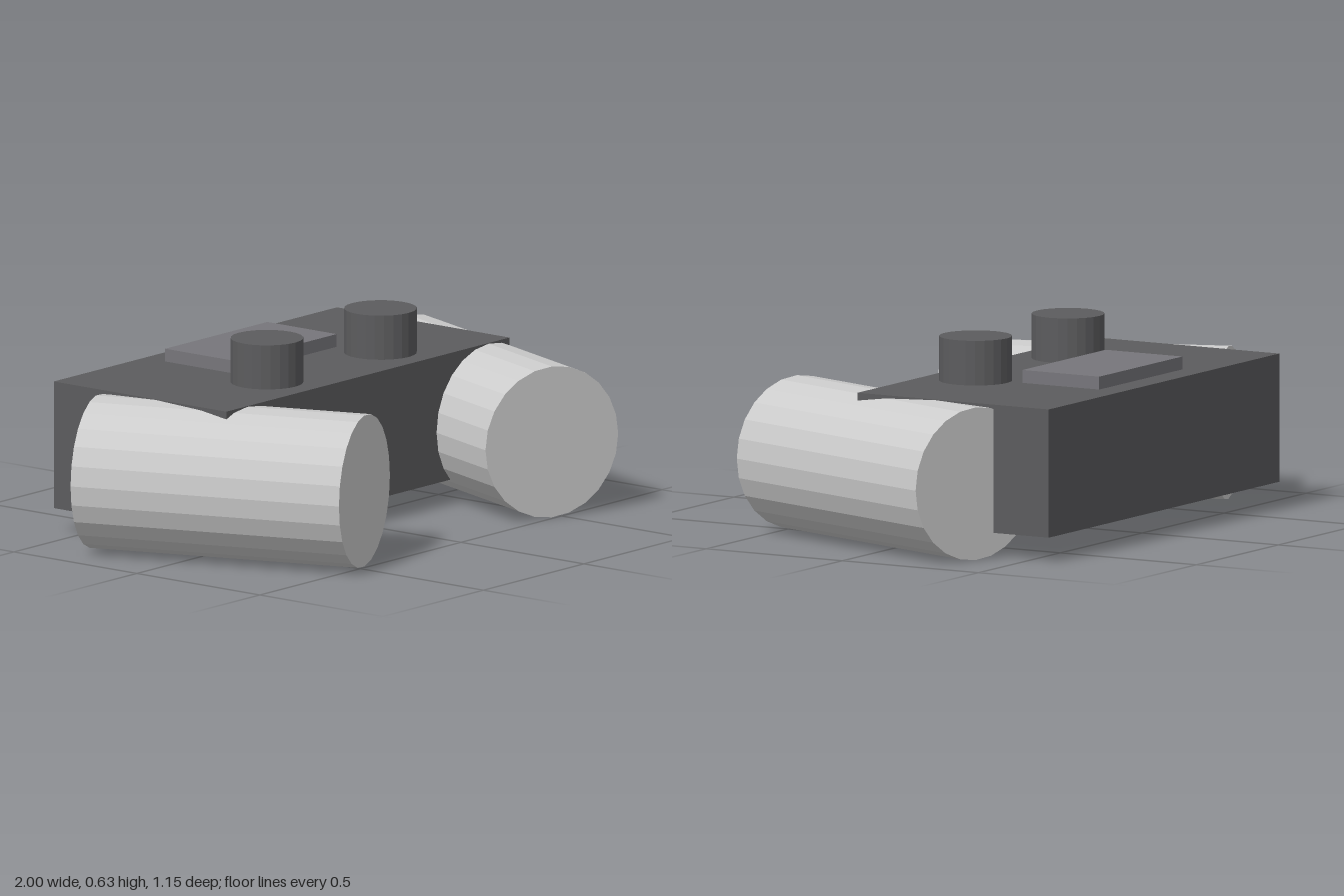
import * as THREE from 'three';

export function createModel() {
  const model = new THREE.Group();
  const mat = (color) => new THREE.MeshStandardMaterial({ color, flatShading: true });
  const dark = mat(0x5c5c5e);
  const panel = mat(0x77767b);
  const light = mat(0xcccccc);

  const add = (name, geometry, material, x, y, z) => {
    const mesh = new THREE.Mesh(geometry, material);
    mesh.name = name;
    mesh.position.set(x, y, z);
    model.add(mesh);
    return mesh;
  };

  // Central housing and its raised top plate
  add('body', new THREE.BoxGeometry(1.408, 0.408, 0.702), dark, 0, 0.284, -0.229);
  add('topPlate', new THREE.BoxGeometry(0.508, 0.06, 0.282), panel, 0, 0.499, -0.354);

  // Mirrored barrels, toed in towards the front, and the knobs on top
  const barrel = new THREE.CylinderGeometry(0.243, 0.243, 0.895, 24).rotateX(Math.PI / 2);
  const knob = new THREE.CylinderGeometry(0.115, 0.115, 0.18, 24);
  for (const [side, s] of [['left', 1], ['right', -1]]) {
    const b = add(side + 'Barrel', barrel, light, s * 0.619, 0.243, 0.068);
    b.rotation.y = -s * THREE.MathUtils.degToRad(20);
    add(side + 'Knob', knob, dark, s * 0.282, 0.54, -0.058);
  }

  return model;
}
